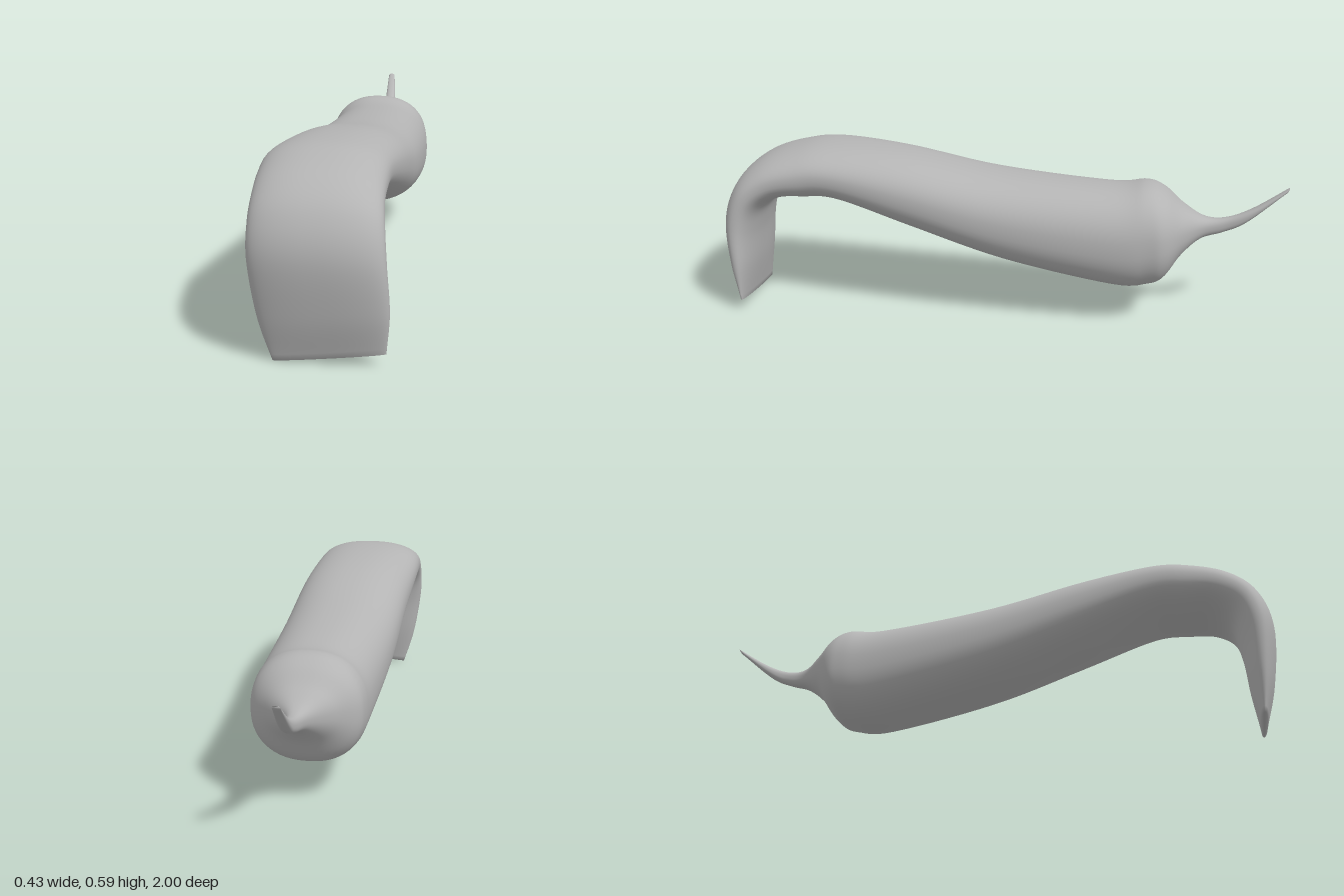
import * as THREE from 'three';

// Cross-sections from stem tip to flap edge:
// upper z, upper y, lower z, lower y, least x, greatest x
const SECTIONS = [
  [-1.0, 0.49, -0.99, 0.472, -0.02, 0.005],
  [-0.88, 0.412, -0.86, 0.36, -0.021, 0.02],
  [-0.79, 0.375, -0.78, 0.32, -0.02, 0.022],
  [-0.715, 0.375, -0.705, 0.295, -0.042, 0.042],
  [-0.64, 0.415, -0.64, 0.24, -0.11, 0.112],
  [-0.575, 0.468, -0.585, 0.16, -0.17, 0.172],
  [-0.51, 0.491, -0.53, 0.13, -0.185, 0.188],
  [-0.38, 0.481, -0.4, 0.125, -0.187, 0.2],
  [0.02, 0.513, -0.02, 0.203, -0.203, 0.205],
  [0.36, 0.574, 0.3, 0.308, -0.208, 0.2],
  [0.61, 0.593, 0.57, 0.398, -0.217, 0.184],
  [0.75, 0.577, 0.7, 0.404, -0.212, 0.182],
  [0.87, 0.535, 0.79, 0.4, -0.204, 0.186],
  [0.955, 0.46, 0.855, 0.362, -0.201, 0.196],
  [0.997, 0.34, 0.882, 0.28, -0.197, 0.206],
  [0.98, 0.165, 0.897, 0.15, -0.172, 0.215],
  [0.942, 0.022, 0.92, 0.022, -0.13, 0.205],
];
const STEPS = 110, SIDES = 56;

// Smooth curve through chosen columns of the section table
const column = (pick) => new THREE.CatmullRomCurve3(
  SECTIONS.map((s) => new THREE.Vector3(...pick(s))), false, 'catmullrom', 0.5);

// Squared-off ellipse keeps the body slightly boxy
const squash = (v) => Math.sign(v) * Math.pow(Math.abs(v), 2 / 2.3);

function loftGeometry() {
  const upper = column((s) => [0, s[1], s[0]]);
  const lower = column((s) => [0, s[3], s[2]]);
  const width = column((s) => [s[4], s[5], 0]);
  const positions = [], index = [];
  for (let i = 0; i <= STEPS; i++) {
    const t = i / STEPS;
    const up = upper.getPoint(t), low = lower.getPoint(t), w = width.getPoint(t);
    const cx = (w.x + w.y) / 2, half = (w.y - w.x) / 2;
    // The flap's hem rises toward +x
    const slope = 0.12 * THREE.MathUtils.smoothstep(t, 0.86, 1);
    for (let j = 0; j < SIDES; j++) {
      const a = (j / SIDES) * Math.PI * 2;
      const c = squash(Math.cos(a)), s = squash(Math.sin(a));
      positions.push(
        cx + half * c,
        (up.y + low.y) / 2 + (up.y - low.y) / 2 * s + slope * half * c,
        (up.z + low.z) / 2 + (up.z - low.z) / 2 * s);
      if (i < STEPS) {
        const k = (j + 1) % SIDES, r = i * SIDES, n = r + SIDES;
        index.push(r + j, r + k, n + k, r + j, n + k, n + j);
      }
    }
  }
  // Close both ends with fans
  const last = STEPS * SIDES;
  for (let j = 1; j < SIDES - 1; j++) {
    index.push(0, j + 1, j, last, last + j, last + j + 1);
  }
  const geometry = new THREE.BufferGeometry();
  geometry.setAttribute('position', new THREE.Float32BufferAttribute(positions, 3));
  geometry.setIndex(index);
  geometry.computeVertexNormals();
  return geometry;
}

export function createModel() {
  const group = new THREE.Group();
  group.name = 'bentPouch';
  const grey = new THREE.MeshStandardMaterial({ color: 0xb4b4b4 });
  grey.name = 'plain grey';
  // Stem, rounded body and folded flap form one continuous skin
  const body = new THREE.Mesh(loftGeometry(), grey);
  body.name = 'stemBodyAndFlap';
  group.add(body);
  return group;
}
